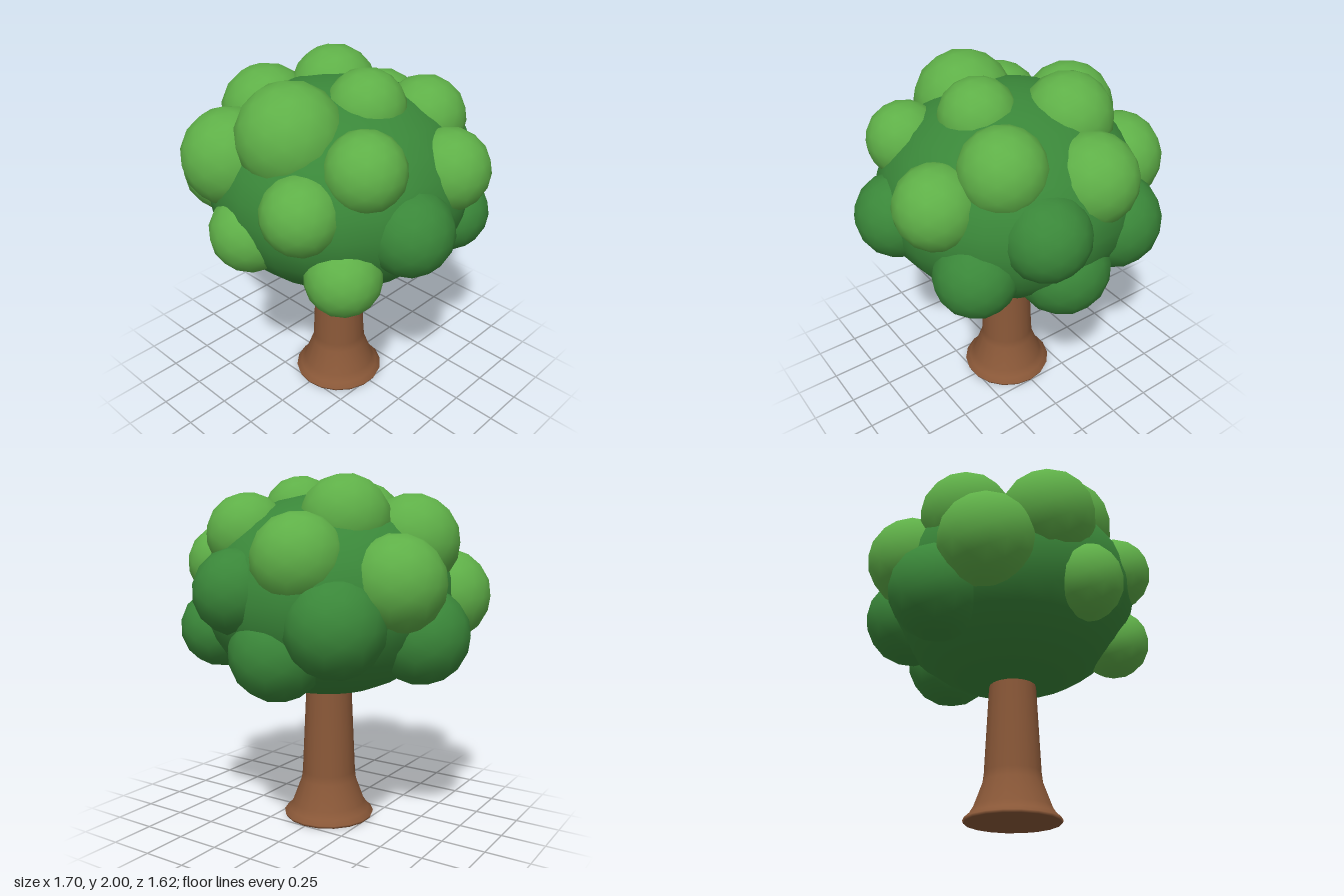
import * as THREE from 'three';

const material = (name, color) => {
  const m = new THREE.MeshStandardMaterial({ color });
  m.name = name;
  return m;
};

export function createModel() {
  const bark = material('bark brown', 0x8a5838);
  const lightLeaf = material('light leaf green', 0x5fb048);
  const darkLeaf = material('dark leaf green', 0x3a8739);

  const tree = new THREE.Group();
  tree.name = 'tree';

  // Trunk: flared foot with a small lip, tapering up into the crown
  const profile = [
    [0, 0], [0.262, 0], [0.268, 0.015], [0.24, 0.04], [0.215, 0.08],
    [0.163, 0.22], [0.157, 0.27], [0.134, 0.77], [0.13, 0.9], [0, 0.9],
  ].map(([r, y]) => new THREE.Vector2(r, y));
  const trunk = new THREE.Mesh(new THREE.LatheGeometry(profile, 18), bark);
  trunk.name = 'trunk';
  trunk.position.set(0.005, 0, 0.012);
  tree.add(trunk);

  // Crown: flattened core
  const crown = new THREE.Group();
  crown.name = 'crown';
  tree.add(crown);
  const core = new THREE.Mesh(new THREE.SphereGeometry(1, 24, 16), darkLeaf);
  core.name = 'crownCore';
  core.position.set(0, 1.33, 0);
  core.scale.set(0.73, 0.57, 0.73);
  crown.add(core);

  // Leaf clumps around the core: x, y, z, radius
  const clumpGeometry = new THREE.IcosahedronGeometry(1, 2);
  const addClumps = (name, mat, list) => list.forEach(([x, y, z, r], i) => {
    const clump = new THREE.Mesh(clumpGeometry, mat);
    clump.name = `${name}${i + 1}`;
    clump.position.set(x, y, z);
    clump.scale.setScalar(r);
    crown.add(clump);
  });

  addClumps('lightClump', lightLeaf, [
    // front
    [-0.29, 1.54, 0.52, 0.265],
    [0.03, 1.7, 0.385, 0.285],
    [0.28, 1.42, 0.56, 0.21],
    [-0.08, 1.2, 0.59, 0.22],
    [0.44, 1.07, 0.43, 0.205],
    [0.46, 1.62, 0.3, 0.21],
    // sides
    [-0.57, 1.33, 0.33, 0.265],
    [-0.48, 1.63, 0.09, 0.265],
    [0.58, 1.5, -0.21, 0.225],
    [-0.57, 1.43, -0.24, 0.26],
    // top and back
    [-0.235, 1.745, -0.2, 0.248],
    [0.19, 1.785, 0, 0.215],
    [0.29, 1.67, -0.36, 0.23],
    [-0.15, 1.55, -0.51, 0.25],
  ]);

  addClumps('darkClump', darkLeaf, [
    [-0.59, 1.14, 0, 0.27],
    [0.62, 1.29, 0.14, 0.235],
    [0.48, 1.15, -0.39, 0.225],
    [0.19, 1.38, -0.585, 0.235],
    [0, 1.06, -0.49, 0.265],
    [-0.35, 1.22, -0.48, 0.27],
  ]);

  return tree;
}
